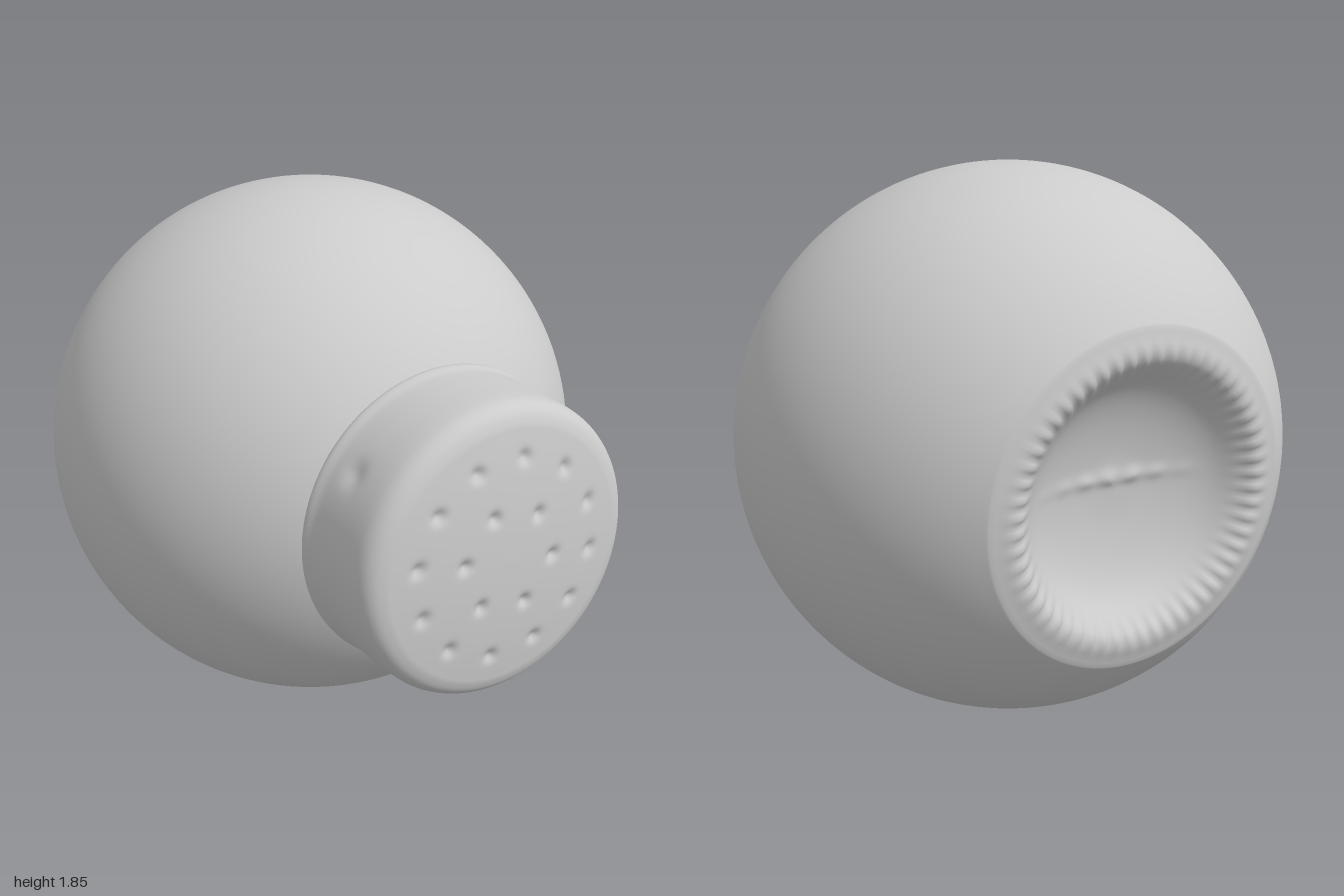
import * as THREE from 'three';
import { mergeVertices } from 'three/addons/utils/BufferGeometryUtils.js';

const R = 0.925; // radius of the round body
const material = new THREE.MeshStandardMaterial({ color: 0xcccccc, roughness: 0.7 });

const spline = (pts, n) =>
  new THREE.SplineCurve(pts.map(([r, a]) => new THREE.Vector2(r, a))).getSpacedPoints(n);

// Lathe around +z, moved vertex by vertex with a rule, then smoothed without a seam
function turned(name, profile, segments, rule) {
  profile.forEach((p) => { p.x = Math.max(p.x, 0); });
  let geo = new THREE.LatheGeometry(profile, segments);
  geo.rotateX(Math.PI / 2);
  geo.deleteAttribute('uv');
  geo.deleteAttribute('normal');
  geo = mergeVertices(geo, 1e-5);
  const pos = geo.attributes.position;
  const v = new THREE.Vector3();
  for (let i = 0; i < pos.count; i++) {
    v.fromBufferAttribute(pos, i);
    rule(v);
    pos.setXYZ(i, v.x, v.y, v.z);
  }
  geo.computeVertexNormals();
  const mesh = new THREE.Mesh(geo, material);
  mesh.name = name;
  return mesh;
}

const bump = (d, width) => Math.exp(-((d / width) ** 2));

// Round jar with a hollow base and a finely notched rim
function makeBody() {
  const base = spline([
    [0, -0.61], [0.12, -0.615], [0.24, -0.64], [0.33, -0.68], [0.4, -0.74],
    [0.435, -0.768], [0.47, -0.772], [0.505, -0.762], [0.535, -0.7545],
  ], 36);
  const start = Math.asin(-0.75 / R);
  const end = Math.asin(0.86 / R);
  for (let i = 0; i <= 60; i++) {
    const t = start + ((end - start) * i) / 60;
    base.push(new THREE.Vector2(R * Math.cos(t), R * Math.sin(t)));
  }
  return turned('body', base, 224, (v) => {
    if (v.z > -0.55) return;
    const r = Math.hypot(v.x, v.y);
    // notches around the rim
    v.z += 0.006 * Math.cos(56 * Math.atan2(v.y, v.x)) * bump(r - 0.435, 0.035);
    // low bumpy ridge across the hollow
    if (r < 0.3) v.z -= 0.01 * bump(v.y - 0.03, 0.022) * bump(v.x, 0.2) * (1 + 0.4 * Math.sin(70 * v.x));
  });
}

// Screw cap with a lipped skirt, a domed face and shallow shaker holes
function makeCap() {
  const profile = [
    ...spline([
      [0.4, 0.8], [0.47, 0.798], [0.497, 0.808], [0.502, 0.825], [0.496, 0.845],
      [0.492, 0.87], [0.49, 0.97], [0.487, 1.08], [0.478, 1.125], [0.455, 1.153], [0.42, 1.168],
    ], 46),
    ...spline([[0.42, 1.168], [0.3, 1.184], [0.15, 1.196], [0, 1.2]], 46).slice(1),
  ];
  // two rings of holes
  const holes = [];
  for (const [count, radius, phase] of [[12, 0.325, 20], [6, 0.165, -9]]) {
    for (let i = 0; i < count; i++) {
      const t = THREE.MathUtils.degToRad(phase + (360 / count) * i);
      holes.push([radius * Math.cos(t), radius * Math.sin(t)]);
    }
  }
  // two small dents in the skirt
  const dents = [24, 143].map((deg) => {
    const t = THREE.MathUtils.degToRad(deg);
    return new THREE.Vector3(0.49 * Math.cos(t), 0.49 * Math.sin(t), 0.95);
  });
  return turned('cap', profile, 192, (v) => {
    if (v.z > 1.16) {
      for (const [x, y] of holes) v.z -= 0.016 * bump(Math.hypot(v.x - x, v.y - y), 0.02);
    } else {
      for (const d of dents) {
        const k = 1 - 0.025 * bump(v.distanceTo(d), 0.04);
        v.x *= k;
        v.y *= k;
      }
    }
  });
}

export function createModel() {
  const model = new THREE.Group();
  model.name = 'roundShaker';

  // the whole shaker lies on its side, its axis tipped slightly up and to its left
  const shaker = new THREE.Group();
  shaker.name = 'shaker';
  shaker.add(makeBody(), makeCap());
  shaker.position.set(0, R, -0.2);
  shaker.quaternion.setFromUnitVectors(
    new THREE.Vector3(0, 0, 1),
    new THREE.Vector3(0.035, 0.053, 1).normalize(),
  );
  model.add(shaker);
  return model;
}
